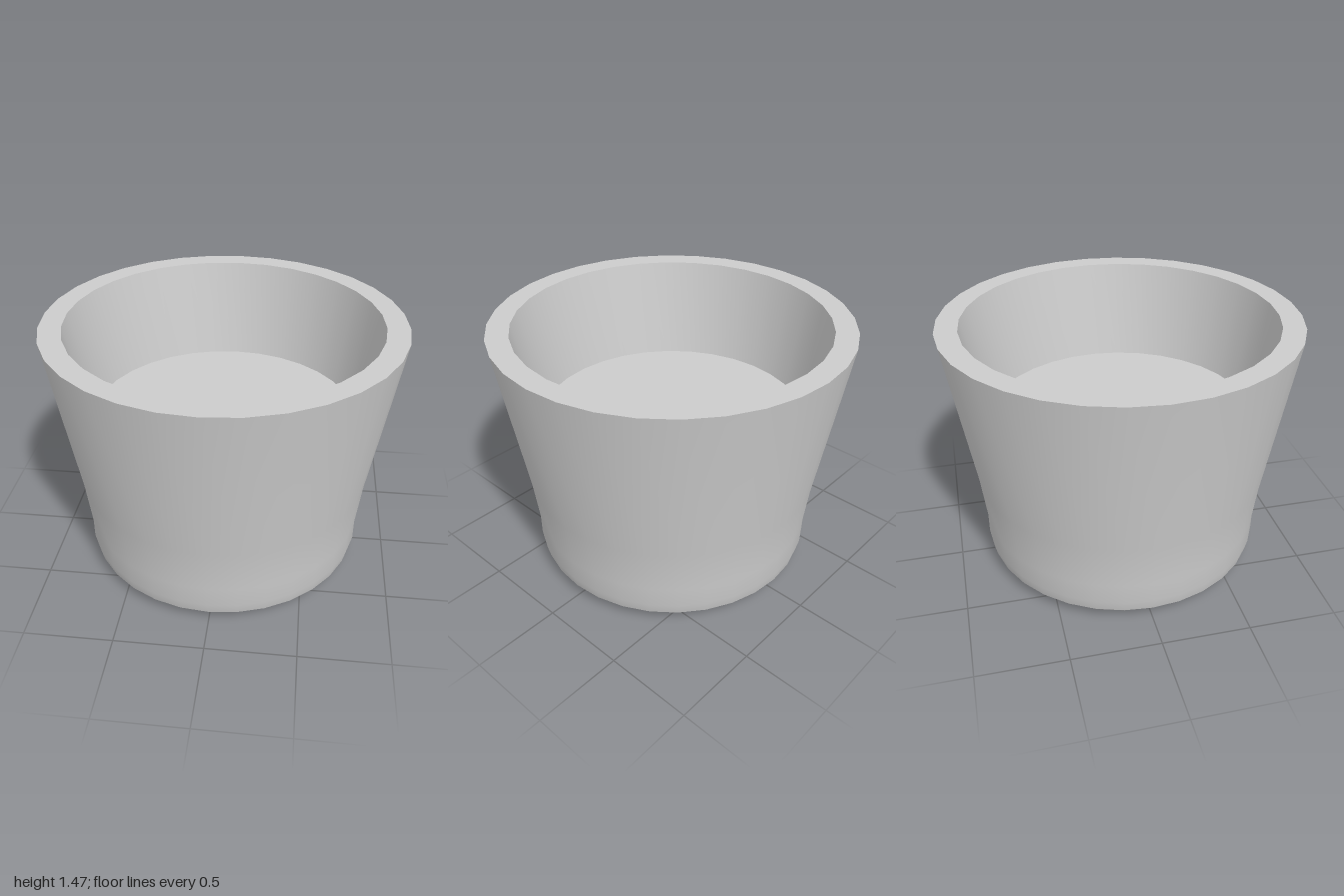
import * as THREE from 'three';
import { toCreasedNormals } from 'three/addons/utils/BufferGeometryUtils.js';

const SIDES = 32;

export function createModel() {
  const group = new THREE.Group();
  group.name = 'plantPot';
  const material = new THREE.MeshStandardMaterial({ color: 0xcccccc });

  // Pot wall: base, rounded foot, flared outside, flat rim, inside wall
  const profile = [
    [0, 0], [0.68, 0], [0.75, 0.02], [0.805, 0.075], [0.82, 0.14],
    [0.82, 0.26], [0.85, 0.53], [1, 1.465], [0.875, 1.465], [0.765, 0.89],
  ].map(([r, y]) => new THREE.Vector2(r, y));
  const wall = toCreasedNormals(new THREE.LatheGeometry(profile, SIDES), 0.5);
  const pot = new THREE.Mesh(wall, material);
  pot.name = 'pot';
  group.add(pot);

  // Flat surface closing the inside of the pot
  const floor = new THREE.Mesh(new THREE.CircleGeometry(0.765, SIDES), material);
  floor.name = 'innerFloor';
  floor.rotation.x = -Math.PI / 2;
  floor.position.y = 0.89;
  group.add(floor);

  return group;
}
